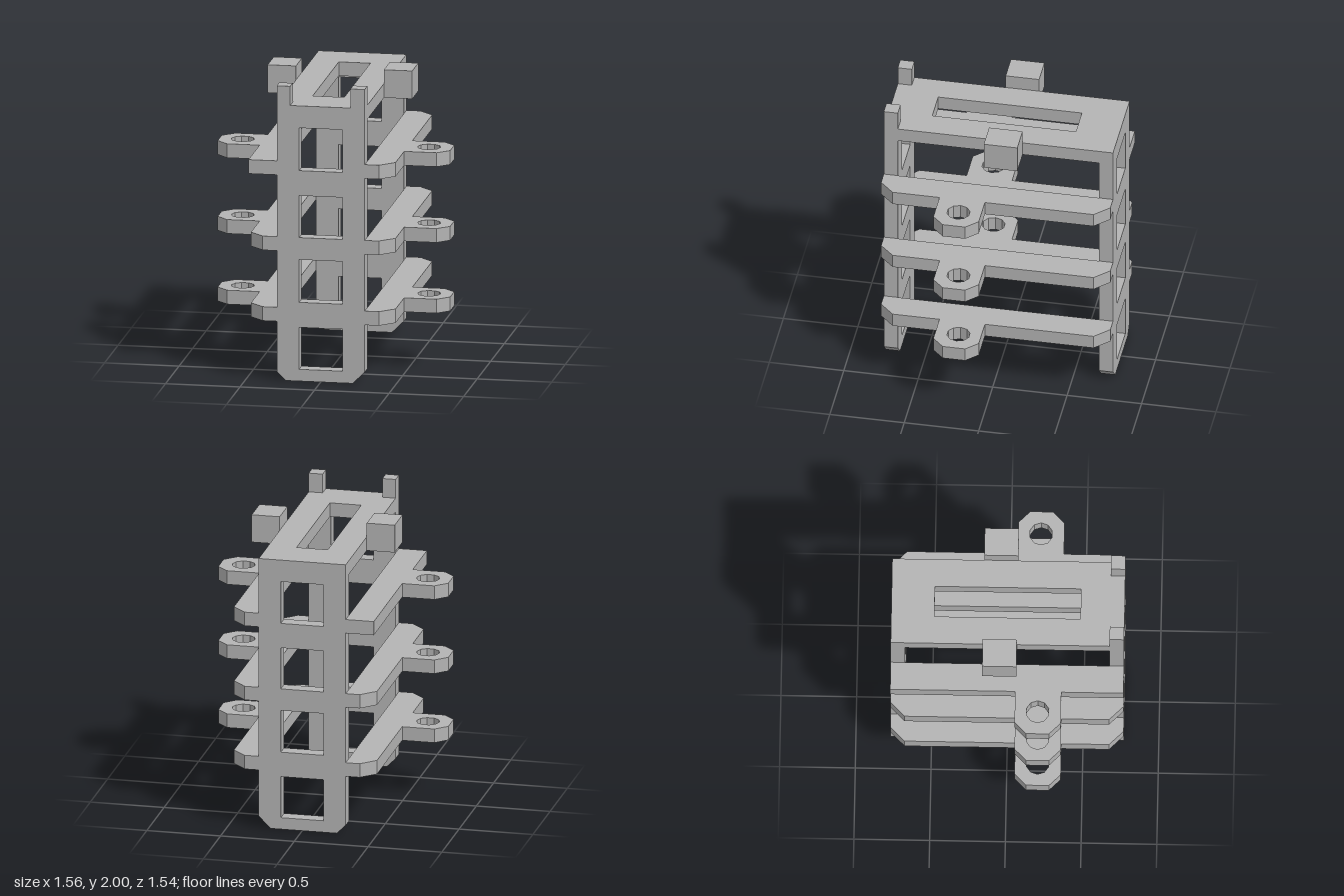
import * as THREE from 'three';

const polygon = (points) => new THREE.Shape(points.map(([x, y]) => new THREE.Vector2(x, y)));

const rectHole = (x0, x1, y0, y1) =>
  new THREE.Path([[x0, y0], [x0, y1], [x1, y1], [x1, y0]].map(([x, y]) => new THREE.Vector2(x, y)));

const extrude = (shape, depth) =>
  new THREE.ExtrudeGeometry(shape, { depth, bevelEnabled: false });

// Flat plate drawn in x and z, with its underside at y
const flatPlate = (shape, y, height) =>
  extrude(shape, height).rotateX(Math.PI / 2).translate(0, y + height, 0);

export function createModel() {
  const model = new THREE.Group();
  const grey = new THREE.MeshStandardMaterial({ color: 0xb3b3b3 });
  grey.name = 'matte grey';

  const add = (name, geometry) => {
    const mesh = new THREE.Mesh(geometry, grey);
    mesh.name = name;
    model.add(mesh);
  };

  const T = 0.095;      // plate thickness
  const W = 0.295;      // half width of the frame
  const D = 0.77;       // half depth
  const windows = [[0.08, 0.365], [0.535, 0.825], [0.975, 1.26], [1.43, 1.72]];

  // Upright ladder panels; the front one rises into two corner posts
  const panel = (topEdge) => {
    const shape = polygon([[-0.235, 0], [0.215, 0], [W, 0.08], ...topEdge, [-W, 0.06]]);
    windows.forEach(([y0, y1]) => shape.holes.push(rectHole(-0.145, 0.145, y0, y1)));
    return extrude(shape, T);
  };
  const postedTop = [[W, 2], [0.2, 2], [0.2, 1.87], [-0.205, 1.87], [-0.205, 2], [-W, 2]];
  add('frontPanel', panel(postedTop).translate(0, 0, D - T));
  add('backPanel', panel([[W, 1.87], [-W, 1.87]]).translate(0, 0, -D));

  // Slotted top plate between the panels
  const E = D - T;
  const top = polygon([[-W, -E], [W, -E], [W, E], [-W, E]]);
  top.holes.push(rectHole(-0.107, 0.105, -0.485, 0.48));
  add('topPlate', flatPlate(top, 1.775, T));

  // Side rails with a pierced ear; c is the corner chamfer
  const rail = (side, c) => {
    const corner = (z) => {
      const s = Math.sign(z);
      return c ? [[0.485 - c, z], [0.485, z - s * c]] : [[0.485, z]];
    };
    const outline = [
      [W, -D], ...corner(-D),
      [0.485, 0.055], [0.703, 0.055], [0.78, 0.132], [0.78, 0.283], [0.703, 0.36], [0.485, 0.36],
      ...corner(D).reverse(), [W, D],
    ];
    const shape = polygon(outline.map(([x, z]) => [side * x, z]));
    const hole = [];
    for (let i = 0; i < 10; i++) {
      const a = (i / 10) * Math.PI * 2;
      hole.push(new THREE.Vector2(side * 0.625 + 0.077 * Math.cos(a), 0.206 + 0.077 * Math.sin(a)));
    }
    shape.holes.push(new THREE.Path(hole));
    return shape;
  };
  [0.4, 0.88, 1.395].forEach((y, level) => {
    add('leftRail' + (level + 1), flatPlate(rail(1, 0.095), y, T));
    // The uppermost right rail keeps square corners
    add('rightRail' + (level + 1), flatPlate(rail(-1, level === 2 ? 0 : 0.095), y, T));
  });

  // Blocks on the sides of the top plate
  for (const side of [1, -1]) {
    add(side > 0 ? 'leftBlock' : 'rightBlock',
      new THREE.BoxGeometry(0.19, 0.19, 0.225).translate(side * 0.39, 1.87, -0.05));
  }

  return model;
}
